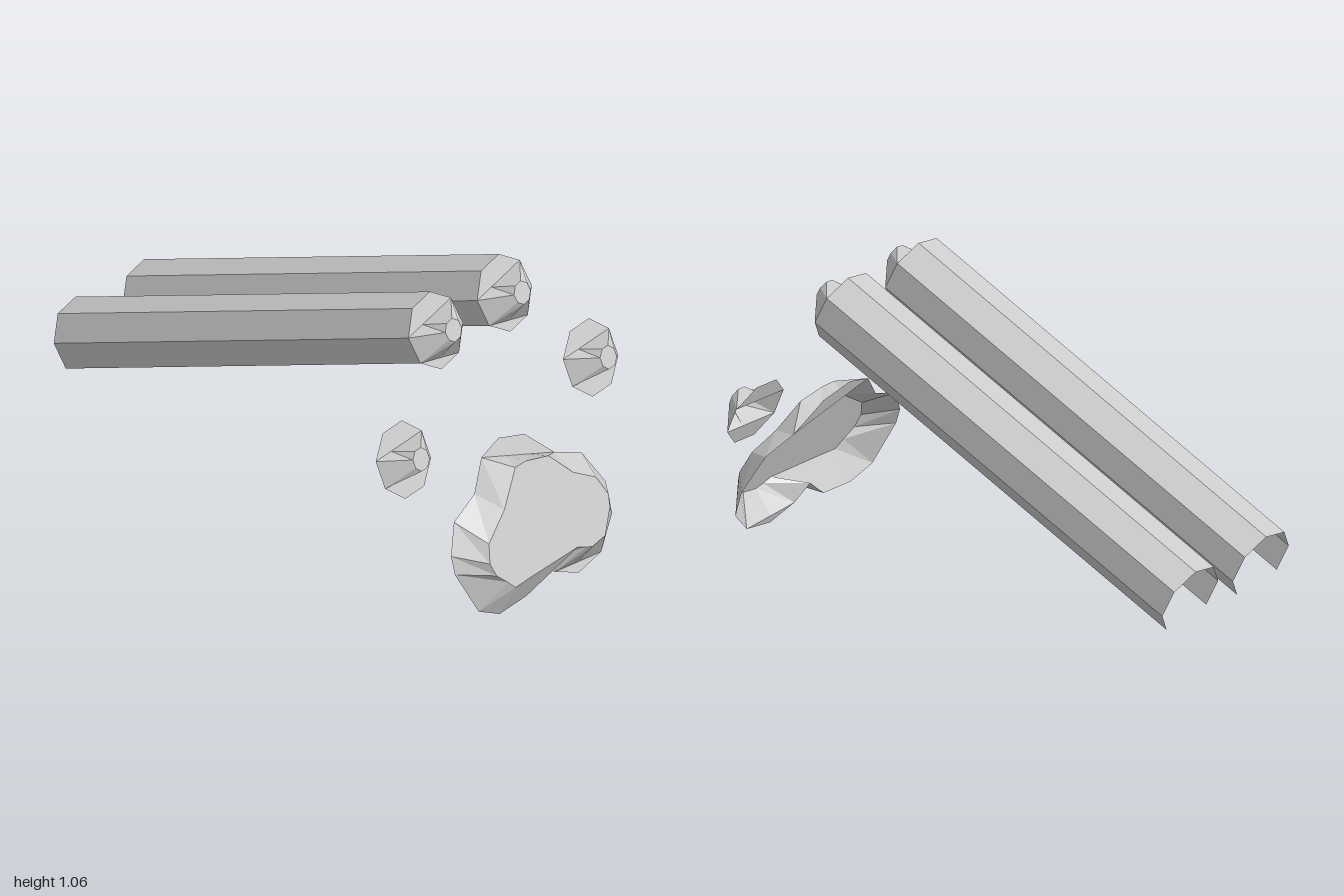
import * as THREE from 'three';

const TILT = THREE.MathUtils.degToRad(20);
const BASE = 0.892; // plane of the rims, measured along the tilted axis
const grey = new THREE.MeshStandardMaterial({ color: 0xcccccc, side: THREE.DoubleSide, flatShading: true });
grey.name = 'light grey';

// Faceted wall between two matching outlines at different depths
function strip(back, zBack, front, zFront, closed) {
  const pos = [];
  const n = back.length;
  for (let i = 0; i < (closed ? n : n - 1); i++) {
    const j = (i + 1) % n;
    const a = [back[i].x, back[i].y, zBack], b = [back[j].x, back[j].y, zBack];
    const c = [front[i].x, front[i].y, zFront], d = [front[j].x, front[j].y, zFront];
    pos.push(...a, ...c, ...b, ...b, ...c, ...d);
  }
  const g = new THREE.BufferGeometry();
  g.setAttribute('position', new THREE.Float32BufferAttribute(pos, 3));
  g.computeVertexNormals();
  return g;
}

function addMesh(group, geometry, name) {
  const mesh = new THREE.Mesh(geometry, grey);
  mesh.name = name;
  group.add(mesh);
}

const plate = (points, z) => new THREE.ShapeGeometry(new THREE.Shape(points)).translate(0, 0, z);

// Hollow raised cushion: front plate, sloping sides, and flat rim flaps
// where the sides cut straight across the outline
function cushion(group, outer, inner, zFront, flaps) {
  const n = outer.length;
  const foot = outer.map((p) => p.clone());
  for (const [start, end] of flaps) {
    const count = (end - start + n) % n;
    const rim = [];
    for (let k = 0; k <= count; k++) {
      const i = (start + k) % n;
      rim.push(outer[i]);
      foot[i].lerpVectors(outer[start], outer[end], k / count);
    }
    addMesh(group, plate(rim, BASE), 'rimFlap');
  }
  addMesh(group, strip(foot, BASE, inner, zFront, true), 'slopingSides');
  addMesh(group, plate(inner, zFront), 'frontPlate');
}

// Clockwise octagon
function octagon(radius, startDegrees) {
  return Array.from({ length: 8 }, (_, k) => {
    const a = THREE.MathUtils.degToRad(startDegrees - 45 * k);
    return new THREE.Vector2(radius * Math.cos(a), radius * Math.sin(a));
  });
}

// Front-elevation points moved into the tilted plane at depth z
const toPlane = (points, z) => points.map(([x, y]) =>
  new THREE.Vector2(x, (y - Math.sin(TILT) * z) / Math.cos(TILT)));

export function createModel() {
  const model = new THREE.Group();
  model.name = 'paw';
  const tilted = new THREE.Group();
  tilted.name = 'tiltedPaw';
  tilted.rotation.x = -TILT;
  model.add(tilted);

  // Outer toes
  for (const [x, side] of [[-0.477, 'right'], [0.476, 'left']]) {
    const toe = new THREE.Group();
    toe.name = side + 'OuterToe';
    toe.position.set(x, 0.322, 0);
    cushion(toe, octagon(0.131, 117), octagon(0.04, 117), 0.976, [[7, 2], [3, 6]]);
    tilted.add(toe);
  }

  // Long middle toes, open along the underside and at the back
  for (const [x, side] of [[-0.176, 'right'], [0.174, 'left']]) {
    const toe = new THREE.Group();
    toe.name = side + 'MiddleToe';
    toe.position.set(x, 0.668, 0);
    const ring = octagon(0.132, 125.3);
    cushion(toe, ring, octagon(0.04, 125.3), 0.976, [[7, 2], [4, 6]]);
    const shell = [6, 7, 0, 1, 2, 3, 4].map((i) => ring[i]);
    addMesh(toe, strip(shell, -0.772, shell, BASE, false), 'longShell');
    tilted.add(toe);
  }

  // Main pad
  const outer = [[-0.03, 0.52], [0.09, 0.49], [0.2, 0.39], [0.32, 0.345], [0.39, 0.225], [0.38, 0.12],
    [0.285, 0.025], [0.16, 0], [0.055, 0.04], [0, 0.1], [-0.1, 0.015], [-0.24, 0.005],
    [-0.33, 0.045], [-0.39, 0.19], [-0.385, 0.25], [-0.33, 0.345], [-0.205, 0.395], [-0.13, 0.49]];
  const inner = [[-0.02, 0.468], [0.085, 0.448], [0.175, 0.36], [0.27, 0.31], [0.305, 0.24], [0.295, 0.2],
    [0.24, 0.125], [0.17, 0.113], [0.14, 0.122], [0.105, 0.135], [-0.14, 0.122], [-0.22, 0.116],
    [-0.25, 0.145], [-0.29, 0.18], [-0.305, 0.225], [-0.285, 0.285], [-0.175, 0.36], [-0.075, 0.466]];
  const pad = new THREE.Group();
  pad.name = 'mainPad';
  cushion(pad, toPlane(outer, BASE), toPlane(inner, 0.98), 0.98, [[17, 2], [6, 8]]);
  tilted.add(pad);

  return model;
}
